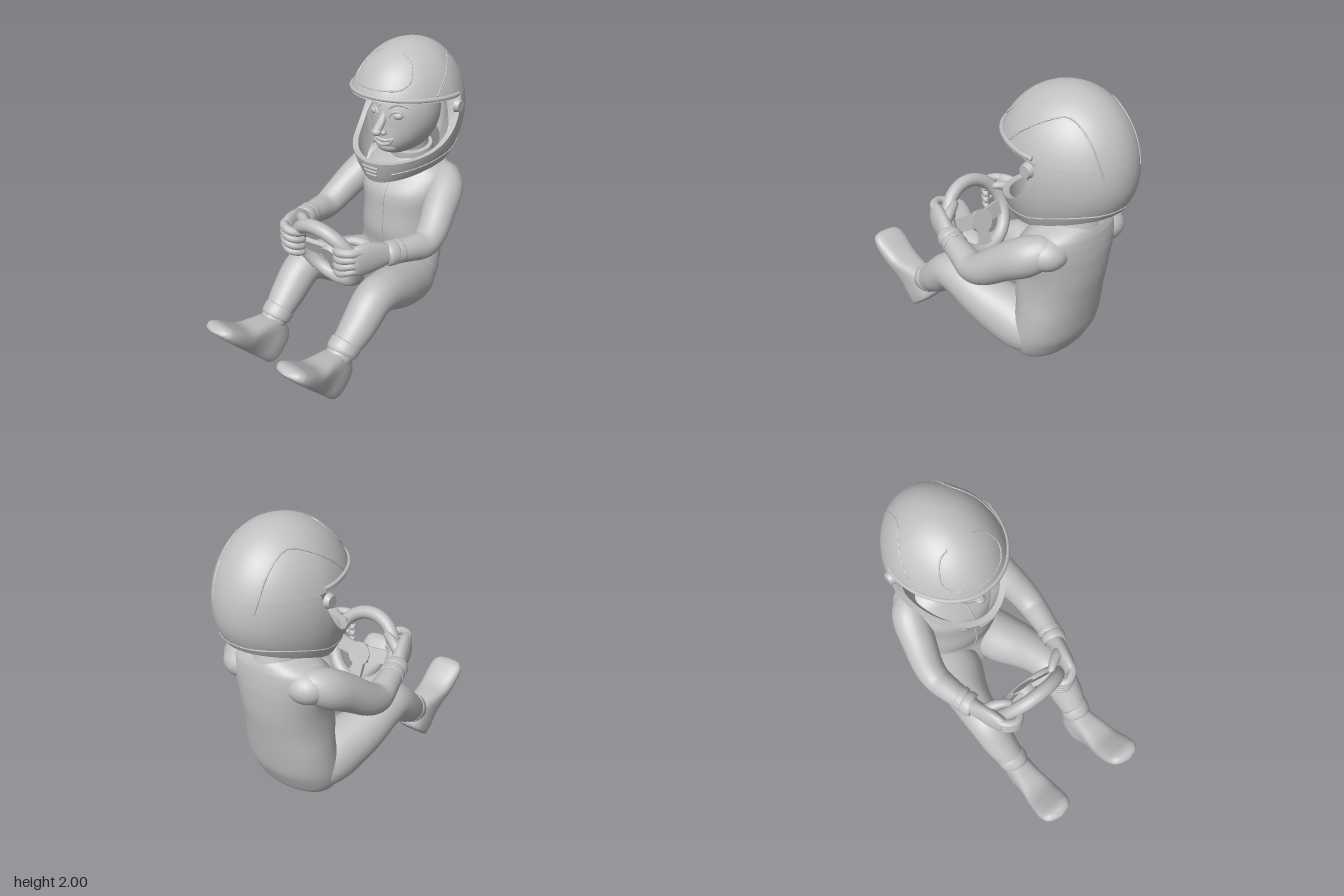
import * as THREE from 'three';
import { toCreasedNormals } from 'three/addons/utils/BufferGeometryUtils.js';

const grey = new THREE.MeshStandardMaterial({ color: 0xc0c0c0 });
grey.name = 'plain grey';
const V = (x, y, z) => new THREE.Vector3(x, y, z);

export function createModel() {
  const model = new THREE.Group();
  model.name = 'seatedDriver';

  const add = (name, geometry, parent = model) => {
    const mesh = new THREE.Mesh(geometry, grey);
    mesh.name = name;
    parent.add(mesh);
    return mesh;
  };
  const ball = (name, x, y, z, rx, ry = rx, rz = rx) => {
    const mesh = add(name, new THREE.SphereGeometry(1, 24, 16));
    mesh.position.set(x, y, z);
    mesh.scale.set(rx, ry, rz);
    return mesh;
  };

  // Skin joining a row of closed rings, with optional end caps
  function skin(rings, caps, crease = 0.9) {
    const n = rings[0].length, pos = [];
    const tri = (...pts) => pts.forEach((p) => pos.push(p.x, p.y, p.z));
    for (let i = 0; i < rings.length - 1; i++) {
      for (let j = 0; j < n; j++) {
        const k = (j + 1) % n, a = rings[i], b = rings[i + 1];
        tri(a[j], a[k], b[k]);
        tri(a[j], b[k], b[j]);
      }
    }
    if (caps) {
      [rings[0], rings[rings.length - 1]].forEach((r, end) => {
        const mid = r.reduce((s, p) => s.add(p), V(0, 0, 0)).divideScalar(n);
        r.forEach((p, j) => (end ? tri(mid, p, r[(j + 1) % n]) : tri(mid, r[(j + 1) % n], p)));
      });
    }
    const g = new THREE.BufferGeometry();
    g.setAttribute('position', new THREE.Float32BufferAttribute(pos, 3));
    return toCreasedNormals(g, crease);
  }

  // Smooth body part through points [x, y, z, radius, second radius]
  function limb(name, pts, { axis = null, steps = 5, sides = 24, power = 1 } = {}) {
    const path = new THREE.CatmullRomCurve3(pts.map((p) => V(p[0], p[1], p[2])));
    const size = new THREE.CatmullRomCurve3(pts.map((p, i) => V(p[3], p[4] ?? p[3], i * 0.1)));
    const span = V(0, 0, 0).subVectors(path.points[pts.length - 1], path.points[0]).normalize();
    const ref = Math.abs(span.x) > 0.75 ? V(0, 1, 0) : V(1, 0, 0);
    const count = (pts.length - 1) * steps, rings = [];
    const bend = (q) => Math.sign(q) * Math.abs(q) ** power;
    for (let i = 0; i <= count; i++) {
      const c = path.getPoint(i / count), r = size.getPoint(i / count);
      const t = axis ?? path.getTangent(i / count);
      const u = ref.clone().addScaledVector(t, -ref.dot(t)).normalize();
      const v = V(0, 0, 0).crossVectors(t, u);
      rings.push(Array.from({ length: sides }, (_, j) => {
        const a = (j / sides) * Math.PI * 2;
        return c.clone().addScaledVector(u, bend(Math.cos(a)) * r.x).addScaledVector(v, bend(Math.sin(a)) * r.y);
      }));
    }
    return add(name, skin(rings, true));
  }

  // Torso, collar, neck and zip
  limb('torso', [
    [0, 0.156, -0.44, 0.17, 0.05], [0, 0.175, -0.445, 0.22, 0.115], [0, 0.23, -0.455, 0.27, 0.175],
    [0, 0.3, -0.465, 0.3, 0.205], [0, 0.4, -0.495, 0.31, 0.22], [0, 0.55, -0.53, 0.3, 0.215],
    [0, 0.7, -0.53, 0.285, 0.24], [0, 0.85, -0.545, 0.285, 0.248], [0, 1.0, -0.555, 0.31, 0.245],
    [0, 1.1, -0.585, 0.315, 0.208], [0, 1.16, -0.605, 0.28, 0.178], [0, 1.195, -0.61, 0.215, 0.16], [0, 1.225, -0.61, 0.14, 0.14],
  ], { axis: V(0, 1, 0), sides: 40, power: 0.92 });
  limb('collar', [[0, 1.16, -0.62, 0.165, 0.155], [0, 1.22, -0.605, 0.155, 0.15], [0, 1.275, -0.595, 0.15, 0.145]]);
  limb('neck', [[0, 1.15, -0.63, 0.12], [0, 1.42, -0.57, 0.12]]);
  limb('zip', [[0, 1.18, -0.445, 0.01], [0, 1.1, -0.38, 0.01], [0, 1.0, -0.312, 0.01],
    [0, 0.85, -0.299, 0.01], [0, 0.7, -0.292, 0.01], [0, 0.55, -0.317, 0.01]], { sides: 8 });

  // Arms, hands, legs and shoes
  const soleAxis = V(0, 0.75, 0.66).normalize(), soleUp = V(0, 0.66, -0.75).normalize();
  for (const s of [1, -1]) {
    const side = s > 0 ? 'left' : 'right';
    const part = (name, pts, opt) => limb(side + name, pts.map(([x, ...rest]) => [x * s, ...rest]), opt);

    ball(side + 'Shoulder', s * 0.235, 1.075, -0.63, 0.135, 0.105, 0.135);
    part('Arm', [[0.2, 1.12, -0.68, 0.04], [0.25, 1.1, -0.645, 0.09], [0.315, 1.05, -0.57, 0.118], [0.365, 0.96, -0.43, 0.112],
      [0.408, 0.85, -0.28, 0.1], [0.412, 0.815, -0.19, 0.092], [0.395, 0.83, -0.08, 0.083], [0.362, 0.855, 0.08, 0.068]]);
    part('Cuff', [[0.377, 0.85, 0.005, 0.07], [0.375, 0.85, 0.012, 0.08], [0.367, 0.855, 0.05, 0.077], [0.364, 0.855, 0.056, 0.07]]);
    part('GloveCuff', [[0.364, 0.855, 0.06, 0.068], [0.362, 0.857, 0.068, 0.08], [0.354, 0.86, 0.11, 0.076], [0.35, 0.86, 0.118, 0.06]]);
    part('Palm', [[0.355, 0.86, 0.09, 0.055, 0.06], [0.34, 0.87, 0.16, 0.05, 0.085], [0.312, 0.88, 0.25, 0.05, 0.105],
      [0.285, 0.885, 0.33, 0.042, 0.1], [0.265, 0.885, 0.36, 0.02, 0.07]]);
    // Fingers fan out from the knuckles and curl over the rim
    for (let f = 0; f < 4; f++) {
      const y = 0.945 - f * 0.042, tip = 0.945 - f * 0.048, r = f === 3 ? 0.025 : 0.029;
      part('Finger' + (f + 1), [[0.305, y, 0.3, r], [0.275, y + 0.005, 0.36, r], [0.215, tip, 0.388, r],
        [0.168, tip - 0.012, 0.365, r * 0.95], [0.148, tip - 0.022, 0.325, r * 0.75], [0.15, tip - 0.024, 0.312, 0.005]], { sides: 12 });
    }
    part('Thumb', [[0.315, 0.91, 0.19, 0.035], [0.26, 0.945, 0.215, 0.034], [0.2, 0.96, 0.25, 0.028],
      [0.165, 0.955, 0.275, 0.02], [0.155, 0.952, 0.282, 0.005]], { sides: 12 });

    part('Leg', [[0.13, 0.38, -0.62, 0.04], [0.14, 0.37, -0.54, 0.13], [0.17, 0.37, -0.42, 0.172], [0.2, 0.405, -0.28, 0.18],
      [0.255, 0.465, -0.12, 0.158], [0.292, 0.53, 0.05, 0.134], [0.3, 0.535, 0.17, 0.127], [0.3, 0.41, 0.325, 0.114],
      [0.29, 0.31, 0.45, 0.092], [0.285, 0.27, 0.51, 0.085]], { sides: 32 });
    part('TrouserCuff', [[0.29, 0.335, 0.42, 0.09], [0.29, 0.33, 0.427, 0.103], [0.287, 0.297, 0.475, 0.098], [0.287, 0.292, 0.48, 0.085]]);

    // Shoe sections: distance along the sole, height, half width
    part('Shoe', [[0, 0.2, 0.06], [0.012, 0.26, 0.088], [0.08, 0.29, 0.097], [0.17, 0.295, 0.094], [0.25, 0.235, 0.098],
      [0.36, 0.14, 0.112], [0.48, 0.105, 0.119], [0.55, 0.08, 0.108], [0.58, 0.055, 0.08], [0.592, 0.03, 0.04]].map(([d, h, w]) => {
      const lift = d > 0.5 ? (d - 0.5) * 0.15 : 0.002;
      const p = V(0.275 + d * 0.05, 0, 0.6).addScaledVector(soleAxis, d).addScaledVector(soleUp, h / 2 + lift);
      return [p.x, p.y, p.z, w, h / 2];
    }), { axis: soleAxis, sides: 32, power: 0.72 });
  }

  // Steering wheel
  const wheel = new THREE.Group();
  wheel.name = 'steeringWheel';
  wheel.position.set(0, 0.8, 0.26);
  wheel.rotation.x = 0.41;
  model.add(wheel);
  add('wheelRim', new THREE.TorusGeometry(0.242, 0.045, 20, 64), wheel).scale.x = 0.95;
  const hub = add('wheelHub', new THREE.CylinderGeometry(0.072, 0.08, 0.05, 32), wheel);
  hub.rotation.x = Math.PI / 2;
  hub.position.set(0, -0.04, -0.025);
  for (const s of [1, -1]) {
    const spoke = add('sideSpoke', new THREE.BoxGeometry(0.17, 0.095, 0.03), wheel);
    spoke.position.set(s * 0.13, -0.015, -0.015);
    spoke.rotation.set(0, s * -0.15, s * 0.1);
  }
  add('lowerSpoke', new THREE.BoxGeometry(0.08, 0.13, 0.03), wheel).position.set(0, -0.155, -0.015);

  // Head, shaped from a sphere with a narrower jaw and fuller lower face
  const jaw = (y) => (y < 0 ? 1 - 0.12 * y * y : 1);
  const full = (y) => (y < 0 ? 1 + 0.75 * y * y : 1);
  const head = new THREE.SphereGeometry(1, 40, 32), hp = head.attributes.position;
  for (let i = 0; i < hp.count; i++) {
    const x = hp.getX(i), y = hp.getY(i), z = hp.getZ(i);
    hp.setXYZ(i, x * 0.215 * jaw(y), 1.53 + y * 0.275, -0.53 + z * 0.25 * (z > 0 ? full(y) : 1));
  }
  head.computeVertexNormals();
  add('head', head);
  const faceZ = (x, y) => {
    const v = (y - 1.53) / 0.275, u = x / (0.215 * jaw(v));
    return -0.53 + 0.25 * full(v) * Math.sqrt(Math.max(0, 1 - u * u - v * v));
  };
  const onFace = (name, pts, r) => limb(name, pts.map(([x, y, k = 1]) => [x, y, faceZ(x, y), r * k]), { sides: 10 });
  limb('nose', [[0, 1.6, -0.31, 0.015], [0, 1.55, -0.29, 0.024], [0, 1.5, -0.252, 0.027], [0, 1.468, -0.222, 0.028], [0, 1.447, -0.24, 0.014]]);
  ball('noseTip', 0, 1.466, -0.22, 0.034, 0.026, 0.032);
  ball('chin', 0, 1.345, -0.345, 0.085, 0.05, 0.065);
  for (const s of [1, -1]) {
    ball('nostril', s * 0.03, 1.458, -0.255, 0.02, 0.017, 0.025);
    ball('eye', s * 0.088, 1.565, faceZ(0.088, 1.565) - 0.017, 0.037, 0.026, 0.028);
    ball('iris', s * 0.086, 1.565, faceZ(0.088, 1.565) + 0.006, 0.014, 0.014, 0.007);
    onFace('eyelid', [[s * 0.045, 1.56], [s * 0.065, 1.588], [s * 0.1, 1.592], [s * 0.135, 1.565]], 0.008);
    onFace('eyebrow', [[s * 0.035, 1.612, 0.8], [s * 0.08, 1.638, 1.2], [s * 0.15, 1.612, 0.5]], 0.01);
  }
  onFace('upperLip', [[-0.08, 1.415, 0.5], [-0.04, 1.4], [0, 1.397], [0.04, 1.4], [0.08, 1.415, 0.5]], 0.012);
  onFace('lowerLip', [[-0.08, 1.413, 0.5], [-0.045, 1.378], [0, 1.366], [0.045, 1.378], [0.08, 1.413, 0.5]], 0.013);

  // Helmet surface by angle from the front and height
  const drop = (d, r) => Math.sqrt(Math.max(0, 1 - (d / r) ** 2));
  const shell = (a, y, k = 1) => {
    const d = y - 1.55, c = Math.cos(a), up = d > 0;
    const wx = 0.365 * drop(d, up ? 0.45 : 0.52) * (1 - 0.1 * Math.max(0, -c));
    const wz = c > 0 ? 0.45 * drop(d, up ? 0.45 : 0.72) : 0.417 * drop(d, up ? 0.45 : 0.38);
    return V(Math.sin(a) * wx * k, y, -0.56 + c * wz * k);
  };
  const upper = [], lower = [];
  for (let i = 0; i <= 96; i++) {
    const a = (i / 96) * Math.PI * 2, c = Math.cos(a), t = Math.min(1, (1 - c) / 1.2);
    const brim = 1.7 - 0.03 * t, sill = 1.28 + 0.12 * t + 0.27 * t ** 5, base = 1.13 + 0.115 * (1 - c);
    // The lining is thin in front and thickly padded behind the cheeks
    const lining = 0.9 - 0.22 * THREE.MathUtils.smoothstep(-c, -0.1, 0.3);
    const dome = [], wall = [];
    for (let j = 0; j <= 20; j++) dome.push(brim + (2 - brim) * Math.cos((j / 20) * Math.PI / 2));
    for (let j = 0; j <= 12; j++) wall.push(sill + (base - sill) * (j / 12));
    const fold = (ys) => [...ys.map((y) => shell(a, y)), ...ys.slice().reverse().map((y) => shell(a, y, lining))];
    upper.push(fold(dome));
    lower.push(fold(wall));
  }
  add('helmetDome', skin(upper, false));
  add('helmetChinGuard', skin(lower, false));

  // Raised helmet trim following the shell, visor pivots and chin vents
  const trim = (name, pts, r = 0.005) => {
    const line = new THREE.CatmullRomCurve3(pts.map(([a, y]) => V(a, y, 0))).getPoints(24);
    return limb(name, line.map((p) => [...shell(p.x, p.y).toArray(), r]), { sides: 8, steps: 2 });
  };
  trim('brimEdge', [[-1.7, 1.69], [-0.8, 1.712], [0, 1.72], [0.8, 1.712], [1.7, 1.69]], 0.014);
  for (const s of [1, -1]) {
    trim('browSeam', [[0, 1.765], [s * 0.3, 1.765], [s * 0.6, 1.78], [s * 0.75, 1.83], [s * 0.75, 1.9], [s * 0.5, 1.95]]);
    trim('sideSeam', [[s * 1.2, 1.72], [s * 1.4, 1.8], [s * 1.7, 1.87], [s * 2.2, 1.9], [s * 2.5, 1.82], [s * 2.7, 1.62]]);
    trim('lowerSeam', [[s * 0.5, 1.21], [s * 1, 1.25], [s * 1.6, 1.31], [s * 2.3, 1.38], [s * Math.PI, 1.4]]);
    const pivot = add('visorPivot', new THREE.CylinderGeometry(0.035, 0.045, 0.03, 24));
    pivot.position.set(s * 0.362, 1.62, -0.59);
    pivot.rotation.z = -s * Math.PI / 2;
  }
  for (let i = 0; i < 3; i++) {
    const y = 1.245 - i * 0.03, w = 0.2 - i * 0.02;
    trim('chinVent', [[-w, y], [0, y], [w, y]], 0.009);
  }
  return model;
}
